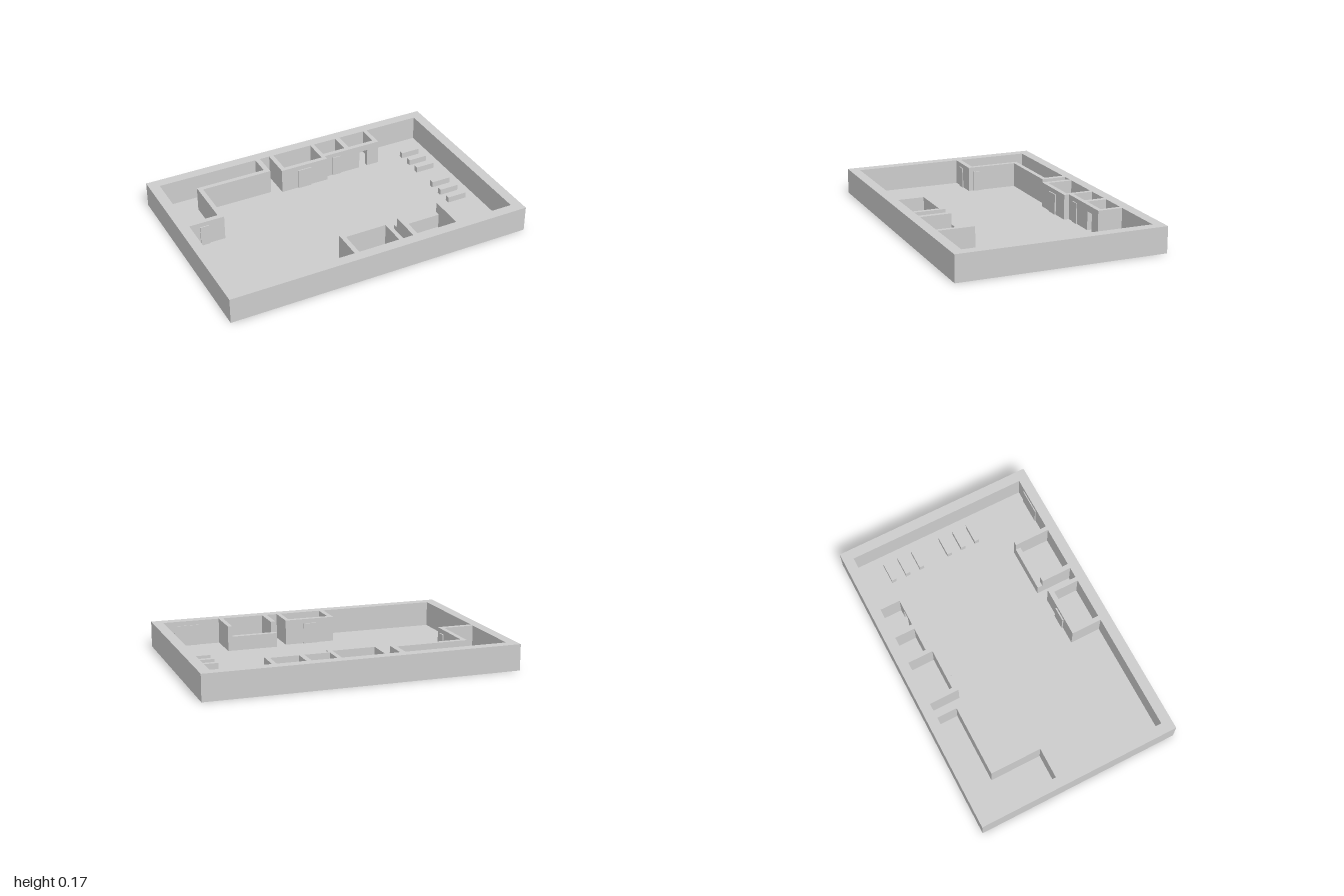
import * as THREE from 'three';

const HEIGHT = 0.167, FLOOR = 0.004;

export function createModel() {
  const model = new THREE.Group();
  const material = new THREE.MeshStandardMaterial({ color: 0xcccccc });

  const add = (name, geometry) => {
    const mesh = new THREE.Mesh(geometry, material);
    mesh.name = name;
    model.add(mesh);
  };
  // Box given by its limits on each axis
  const block = (name, x0, x1, y0, y1, z0, z1) => add(name,
    new THREE.BoxGeometry(x1 - x0, y1 - y0, z1 - z0)
      .translate((x0 + x1) / 2, (y0 + y1) / 2, (z0 + z1) / 2));
  // Floor plan points [x, z]; the plan is laid flat after extrusion
  const plan = (points) => points.map(([x, z]) => new THREE.Vector2(x, -z));
  // Counter-clockwise seen from above, so the extrusion orients its holes
  const rect = (x0, x1, z0, z1) => [[x0, z1], [x1, z1], [x1, z0], [x0, z0]];

  // Outer walls and partitions: one slab with the hall and closed rooms cut out
  const hall = [
    [-0.933, -0.1], [-0.703, -0.1], [-0.703, -0.437], [-0.233, -0.437],
    [-0.233, -0.6], [-0.167, -0.6], [-0.167, -0.403], [0.163, -0.403],
    [0.163, -0.437],
    // doorway into the open back room
    [0.42, -0.437], [0.42, -0.467], [0.355, -0.467], [0.355, -0.6],
    [0.535, -0.6], [0.535, -0.467], [0.48, -0.467], [0.48, -0.437],
    [0.563, -0.437], [0.563, -0.6], [0.933, -0.6], [0.933, 0.6],
    // counter bay and front room
    [0.563, 0.6], [0.563, 0.367], [0.535, 0.367], [0.535, 0.6],
    [0.265, 0.6], [0.265, 0.4], [0.233, 0.4], [0.233, 0.6],
    [0.163, 0.6], [0.163, 0.4], [-0.167, 0.4], [-0.167, 0.6], [-0.933, 0.6],
  ];
  const cornerRoom = [
    [-0.933, -0.6], [-0.267, -0.6], [-0.267, -0.468],
    [-0.733, -0.468], [-0.733, -0.133], [-0.933, -0.133],
  ];
  const rooms = [
    hall, cornerRoom,
    rect(-0.136, 0.135, -0.6, -0.433),
    rect(0.163, 0.322, -0.6, -0.467),
    rect(-0.136, 0.135, 0.432, 0.6),
  ];
  const walls = new THREE.Shape(plan(rect(-1, 1, -0.667, 0.667)));
  rooms.forEach((r) => walls.holes.push(new THREE.Path(plan(r))));
  add('walls', new THREE.ExtrudeGeometry(walls, { depth: HEIGHT, bevelEnabled: false })
    .rotateX(-Math.PI / 2));

  block('floor', -0.933, 0.933, 0, FLOOR, -0.6, 0.6);
  block('doorLintel', 0.42, 0.48, 0.125, HEIGHT, -0.467, -0.437);
  block('counter', 0.233, 0.535, FLOOR, 0.097, 0.367, 0.4);

  // Door panels standing slightly proud of the walls
  const doors = [
    [-0.865, -0.807, -0.1, -0.093], [-0.703, -0.694, -0.19, -0.135],
    [-0.05, 0.042, -0.403, -0.395], [0.22, 0.278, -0.437, -0.431],
    [-0.05, 0.042, 0.391, 0.4], [0.7, 0.865, 0.594, 0.6],
  ];
  doors.forEach(([x0, x1, z0, z1]) => block('door', x0, x1, FLOOR, 0.138, z0, z1));

  // Two groups of three benches
  for (const start of [-0.435, -0.033]) {
    for (let i = 0; i < 3; i++) {
      const z = start + i * 0.1;
      block('bench', 0.733, 0.863, FLOOR, 0.043, z, z + 0.031);
    }
  }
  return model;
}
